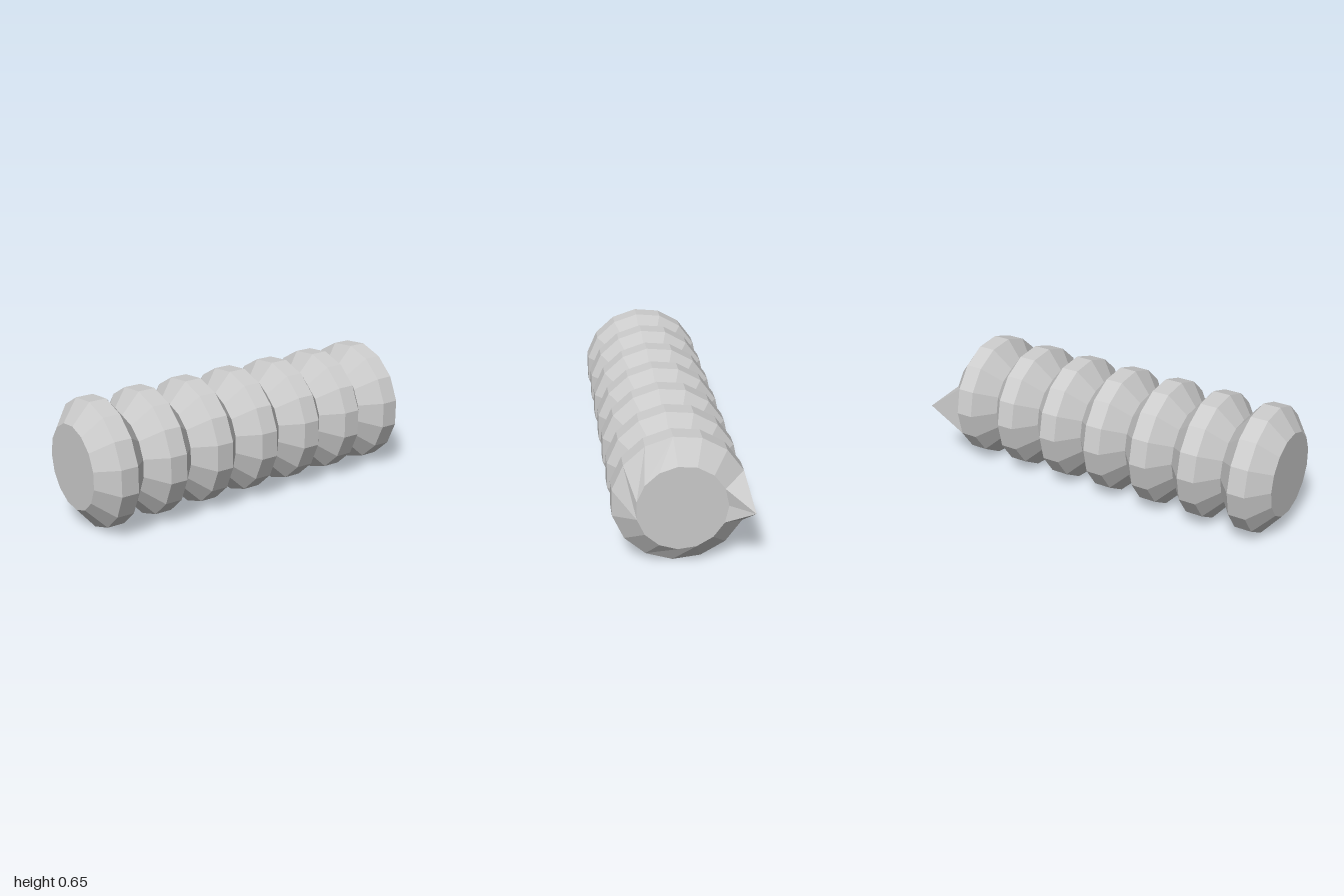
import * as THREE from 'three';

const SIDES = 15;
const RIBS = 7;
const STEP = 1 / 11;           // axial length of each band
const OUTER = 0.3285, INNER = 0.2185;
const CY = 0.327, CZ = 0.0035; // axis of the body

export function createModel() {
  const group = new THREE.Group();
  const material = new THREE.MeshStandardMaterial({ color: 0xcccccc, flatShading: true });

  // Ribbed body: valley, rib, rib, repeated along x; closed at the -x end
  const profile = [new THREE.Vector2(0, -1)];
  for (let i = 0; i < RIBS; i++) {
    const x = -1 + i * 3 * STEP;
    profile.push(
      new THREE.Vector2(INNER, x),
      new THREE.Vector2(OUTER, x + STEP),
      new THREE.Vector2(OUTER, x + 2 * STEP));
  }
  const bodyGeometry = new THREE.LatheGeometry(profile, SIDES, Math.PI);
  bodyGeometry.rotateZ(-Math.PI / 2);
  bodyGeometry.translate(0, CY, CZ);
  const body = new THREE.Mesh(bodyGeometry, material);
  body.name = 'ribbedBody';
  group.add(body);

  // Corner k of a ring, counted from the back (-z) upwards
  const corner = (k, r, x) => {
    const a = (k / SIDES) * Math.PI * 2;
    return new THREE.Vector3(x, CY + r * Math.sin(a), CZ - r * Math.cos(a));
  };
  const endX = -1 + RIBS * 3 * STEP;
  const O = k => corner(k, OUTER, endX - STEP);
  const I = k => corner(k, INNER, endX);
  const addFaces = (name, triangles) => {
    const geometry = new THREE.BufferGeometry().setFromPoints(triangles.flat());
    geometry.computeVertexNormals();
    const mesh = new THREE.Mesh(geometry, material);
    mesh.name = name;
    group.add(mesh);
  };

  // Uneven bevel: last inner corner that each outer corner 1..14 fans out to
  const reach = [2, 3, 3, 6, 7, 8, 8, 8, 9, 12, 12, 12, 13, 14];
  const bevel = [];
  let inner = 1;
  reach.forEach((last, n) => {
    const k = n + 1;
    for (; inner < last; inner++) bevel.push([O(k), I(inner + 1), I(inner)]);
    if (k < SIDES - 1) bevel.push([O(k), O(k + 1), I(inner)]);
  });
  addFaces('twistedBevel', bevel);

  // Flat end disc
  const disc = [];
  for (let k = 0; k < SIDES; k++) disc.push([new THREE.Vector3(endX, CY, CZ), I(k), I(k + 1)]);
  addFaces('endDisc', disc);

  // Pointed spike drawn out from the back of the bevel
  const tip = new THREE.Vector3(1, CY, -0.325);
  addFaces('spike', [
    [O(14), tip, I(14)],
    [tip, I(0), I(14)],
    [tip, I(1), I(0)],
    [tip, O(1), I(1)],
    [tip, O(14), O(1)],
    [O(14), O(0), O(1)],
  ]);

  return group;
}
